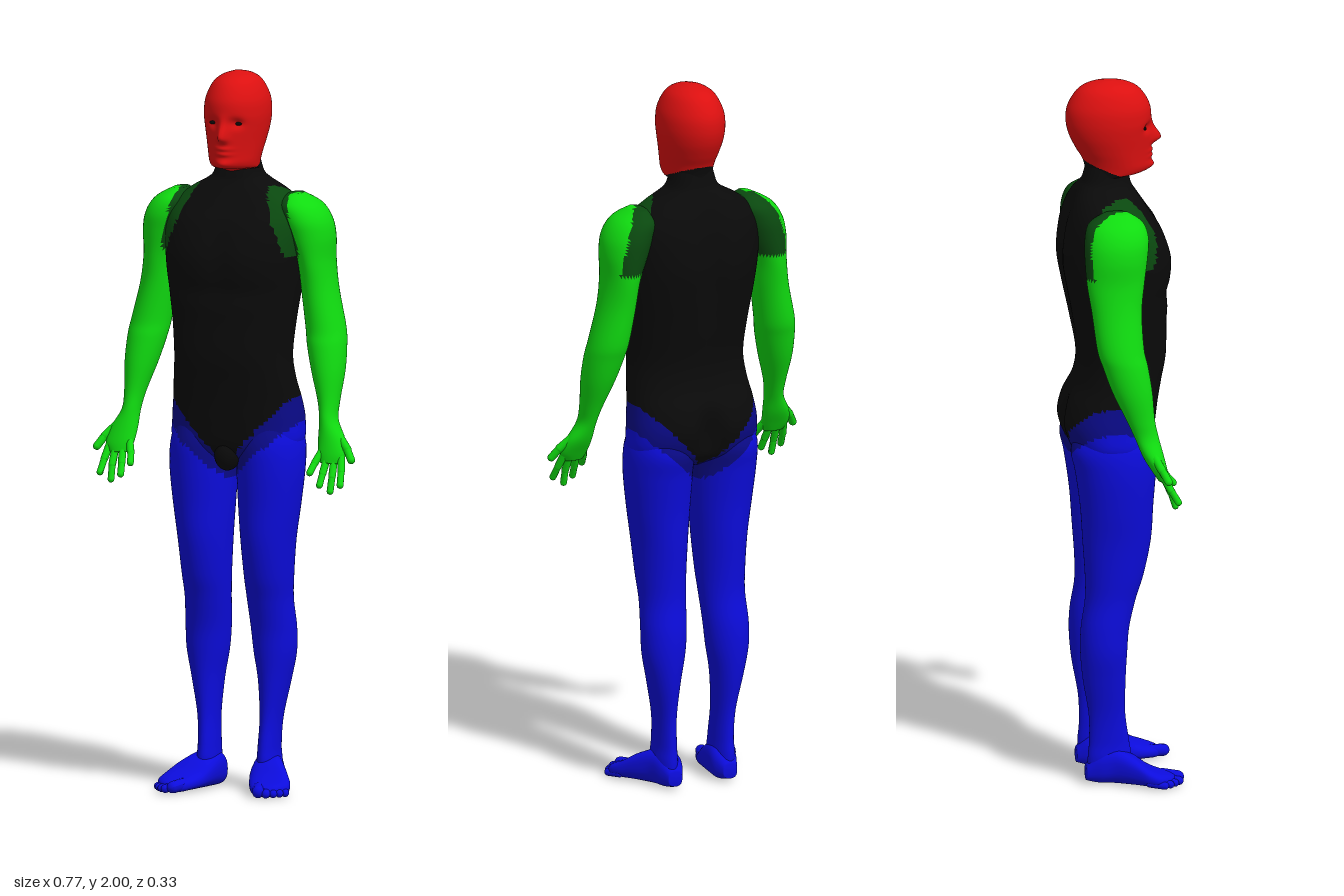
import * as THREE from 'three';

const mat = (name, color) => Object.assign(new THREE.MeshStandardMaterial({ color }), { name });

// Smooth interpolation through the rows of a section table
function sample(keys, t) {
  const n = keys.length - 1, i = Math.min(Math.floor(t), n - 1), f = t - i;
  const [a, b, c, d] = [i - 1, i, i + 1, i + 2].map(k => keys[Math.max(0, Math.min(n, k))]);
  return b.map((v, k) => v + 0.5 * f * (c[k] - a[k] + f * (2 * a[k] - 5 * v + 4 * c[k] - d[k]
    + f * (3 * (v - c[k]) + d[k] - a[k]))));
}

// Closed loft from top to bottom; each row is [y, xMin, xMax, zMin, zMax]
function loft(keys, { sides = 32, steps = 6, power = 2, shape } = {}) {
  const rings = [], pos = [], index = [], total = (keys.length - 1) * steps;
  for (let i = 0; i <= total; i++) rings.push(sample(keys, i / steps));
  const point = ([y, x0, x1, z0, z1]) => [y, (x0 + x1) / 2, (x0 + x1) / 2, (z0 + z1) / 2, (z0 + z1) / 2];
  rings.unshift(point(rings[0]));
  rings.push(point(rings[rings.length - 1]));
  const bend = v => Math.sign(v) * Math.abs(v) ** (2 / power);
  for (const [y, x0, x1, z0, z1] of rings) for (let j = 0; j < sides; j++) {
    const a = j / sides * Math.PI * 2;
    const p = new THREE.Vector3((x0 + x1) / 2 + (x1 - x0) / 2 * bend(Math.cos(a)), y,
      (z0 + z1) / 2 + (z1 - z0) / 2 * bend(Math.sin(a)));
    if (shape) shape(p, Math.sin(a));
    pos.push(p.x, p.y, p.z);
  }
  for (let i = 0; i < rings.length - 1; i++) for (let j = 0; j < sides; j++) {
    const k = (j + 1) % sides, a = i * sides + j, b = i * sides + k;
    index.push(a, b, a + sides, b, b + sides, a + sides);
  }
  const g = new THREE.BufferGeometry();
  g.setAttribute('position', new THREE.Float32BufferAttribute(pos, 3));
  g.setIndex(index);
  g.computeVertexNormals();
  return g;
}

// Sort triangles into material groups by a rule on their centres
function paint(g, rule) {
  const p = g.attributes.position, idx = g.index.array, sets = [];
  for (let i = 0; i < idx.length; i += 3) {
    const t = [idx[i], idx[i + 1], idx[i + 2]], c = new THREE.Vector3();
    t.forEach(v => c.add(new THREE.Vector3().fromBufferAttribute(p, v)));
    const m = rule(c.divideScalar(3));
    (sets[m] ||= []).push(...t);
  }
  g.setIndex(sets.flat());
  let start = 0;
  sets.forEach((s, m) => { g.addGroup(start, s.length, m); start += s.length; });
  return g;
}

function mirrored(g) {
  const m = g.clone().scale(-1, 1, 1), idx = m.index.array;
  for (let i = 0; i < idx.length; i += 3) [idx[i], idx[i + 1]] = [idx[i + 1], idx[i]];
  m.computeVertexNormals();
  return m;
}

// Rounded finger or toe between two points
function digit(a, b, r) {
  const from = new THREE.Vector3(...a), to = new THREE.Vector3(...b), d = to.clone().sub(from);
  const g = new THREE.CapsuleGeometry(r, d.length(), 5, 12);
  g.applyQuaternion(new THREE.Quaternion().setFromUnitVectors(new THREE.Vector3(0, 1, 0), d.normalize()));
  return g.translate(...from.add(to).multiplyScalar(0.5).toArray());
}

const bump = (v, centre, width) => Math.exp(-(((v - centre) / width) ** 2));

export function createModel() {
  const model = new THREE.Group();
  model.name = 'figure';
  const red = mat('red', 0xdc1010), black = mat('black', 0x0a0a0a);
  const green = mat('green', 0x10dc10), darkGreen = mat('darkGreen', 0x0a480f);
  const blue = mat('blue', 0x0c0cdc), darkBlue = mat('darkBlue', 0x0a0a88);
  const palette = [black, darkGreen, green, darkBlue, blue];
  const add = (name, g, m) => {
    const mesh = new THREE.Mesh(g, m);
    mesh.name = name;
    model.add(mesh);
  };
  const addPair = (name, g, m) => { add('left' + name, g, m); add('right' + name, mirrored(g), m); };

  // Colour zones of the suit: shoulder bands above, hip bands below
  const zone = ({ x, y, z }) => {
    const ax = Math.abs(x), back = Math.max(0, -z), drop = 1.66 - y;
    if (y > 1.5) {
      if (ax > 0.165 + back * 0.5 + drop * 0.25) return 2;
      if (ax > 0.112 + back * 0.5 + drop * 0.4) return 1;
    }
    if (y < 0.86 + ax * 0.9) return 4;
    return y < 0.915 + ax * 1.05 ? 3 : 0;
  };

  // Torso with chest line, spine groove and cleft
  const torso = loft([
    [1.765, -0.056, 0.056, -0.09, 0.02], [1.72, -0.068, 0.068, -0.102, 0.03],
    [1.7, -0.088, 0.088, -0.115, 0.036], [1.67, -0.14, 0.14, -0.132, 0.055],
    [1.63, -0.185, 0.185, -0.148, 0.082], [1.58, -0.2, 0.2, -0.162, 0.115],
    [1.5, -0.196, 0.196, -0.17, 0.142], [1.42, -0.188, 0.188, -0.157, 0.138],
    [1.32, -0.174, 0.174, -0.135, 0.13], [1.22, -0.166, 0.166, -0.116, 0.128],
    [1.15, -0.172, 0.172, -0.124, 0.115], [1.09, -0.18, 0.18, -0.155, 0.105],
    [1.03, -0.187, 0.187, -0.167, 0.097], [0.97, -0.185, 0.185, -0.148, 0.087],
    [0.94, -0.14, 0.14, -0.12, 0.07], [0.91, -0.04, 0.04, -0.06, 0.04],
  ], {
    sides: 72, power: 2.3, shape: (p, s) => {
      const mid = bump(p.x, 0, 0.035);
      if (s < 0) p.z += mid * (0.02 * bump(p.y, 1.5, 0.15) + 0.04 * bump(p.y, 1.02, 0.07));
      else p.z -= mid * 0.01 * bump(p.y, 1.5, 0.1) + s * 0.008 * bump(p.y, 1.4, 0.025);
    },
  });
  add('torso', paint(torso, zone), palette);
  add('groin', new THREE.SphereGeometry(1, 24, 16).scale(0.036, 0.045, 0.045).translate(0, 0.94, 0.052), black);

  // Head with jaw, nose, eye sockets, lips and chin; the neck below is black
  const head = loft([
    [2, -0.012, 0.012, -0.045, -0.015], [1.99, -0.042, 0.042, -0.088, 0.03],
    [1.97, -0.066, 0.066, -0.118, 0.062], [1.93, -0.085, 0.085, -0.142, 0.086],
    [1.89, -0.09, 0.09, -0.147, 0.091], [1.85, -0.087, 0.087, -0.139, 0.089],
    [1.81, -0.08, 0.08, -0.12, 0.09], [1.78, -0.074, 0.074, -0.102, 0.09],
    [1.755, -0.069, 0.069, -0.094, 0.09], [1.74, -0.066, 0.066, -0.094, 0.075],
    [1.73, -0.063, 0.063, -0.095, 0.03], [1.69, -0.064, 0.064, -0.1, 0.025],
  ], {
    sides: 80, steps: 8, shape: (p, s) => {
      if (s <= 0) return;
      const jaw = THREE.MathUtils.smoothstep(1.88 - p.y, 0, 0.1);
      p.x *= 1 - 0.22 * jaw * s * s;
      const ax = Math.abs(p.x);
      p.z += s * (0.03 * bump(ax, 0, 0.014) * bump(p.y, 1.828, p.y > 1.828 ? 0.035 : 0.013)
        - 0.014 * bump(ax, 0.036, 0.018) * bump(p.y, 1.867, 0.014)
        + 0.006 * bump(ax, 0, 0.025) * (bump(p.y, 1.796, 0.006) + bump(p.y, 1.781, 0.006))
        + 0.01 * bump(ax, 0, 0.025) * bump(p.y, 1.752, 0.012));
    },
  });
  add('head', paint(head, p => (p.y > 1.737 - p.z * 0.4 || (p.z > 0.02 && p.y > 1.728) ? 1 : 0)), [black, red]);
  addPair('Eye', new THREE.SphereGeometry(1, 16, 10).scale(0.012, 0.005, 0.004).translate(0.036, 1.866, 0.068), black);

  // Arms down to the palms
  const arm = loft([
    [1.668, 0.15, 0.19, -0.07, 0], [1.64, 0.12, 0.24, -0.112, 0.04],
    [1.6, 0.13, 0.268, -0.126, 0.052], [1.55, 0.15, 0.278, -0.128, 0.047],
    [1.48, 0.178, 0.277, -0.124, 0.036], [1.4, 0.188, 0.288, -0.112, 0.027],
    [1.3, 0.202, 0.312, -0.1, 0.03], [1.25, 0.211, 0.32, -0.085, 0.04],
    [1.18, 0.23, 0.322, -0.06, 0.05], [1.1, 0.256, 0.316, -0.022, 0.056],
    [1.05, 0.266, 0.318, 0, 0.066], [1, 0.268, 0.345, 0.02, 0.078],
    [0.96, 0.273, 0.354, 0.044, 0.087], [0.935, 0.283, 0.342, 0.06, 0.09],
  ], { sides: 40 });
  addPair('Arm', paint(arm, p => (p.y > 1.5 ? Math.min(2, zone(p)) || 1 : 2)), palette);

  // Fingers and thumb
  [
    [[0.325, 1.01, 0.045], [0.358, 0.975, 0.065], [0.376, 0.947, 0.08]],
    [[0.341, 0.96, 0.066], [0.35, 0.915, 0.09], [0.355, 0.88, 0.111]],
    [[0.323, 0.955, 0.07], [0.325, 0.9, 0.095], [0.324, 0.861, 0.107]],
    [[0.303, 0.955, 0.07], [0.297, 0.907, 0.095], [0.294, 0.877, 0.111]],
    [[0.284, 0.965, 0.068], [0.272, 0.935, 0.09], [0.265, 0.91, 0.111]],
  ].forEach(([a, b, c], i) => {
    const name = i ? 'Finger' + i : 'Thumb', r = i ? 0.0105 : 0.012;
    addPair(name + 'Base', digit(a, b, r), green);
    addPair(name + 'Tip', digit(b, c, r - 0.001), green);
  });

  // Legs
  const leg = loft([
    [1.03, 0.03, 0.17, -0.12, 0.07], [0.97, 0.008, 0.189, -0.148, 0.088],
    [0.9, 0.006, 0.192, -0.136, 0.088], [0.8, 0.011, 0.182, -0.122, 0.081],
    [0.7, 0.018, 0.168, -0.115, 0.075], [0.6, 0.024, 0.16, -0.108, 0.055],
    [0.53, 0.028, 0.156, -0.108, 0.033], [0.45, 0.033, 0.16, -0.12, 0.014],
    [0.38, 0.04, 0.158, -0.122, 0.008], [0.3, 0.054, 0.142, -0.115, 0.004],
    [0.2, 0.062, 0.122, -0.098, 0.004], [0.12, 0.06, 0.117, -0.096, 0.015],
    [0.07, 0.058, 0.12, -0.1, 0.02], [0.01, 0.062, 0.113, -0.098, 0],
  ], { sides: 48 });
  addPair('Leg', paint(leg, zone), palette);

  // Feet, lofted from toe to heel and laid flat
  const foot = loft([
    [0.135, 0.11, 0.15, -0.026, -0.004], [0.12, 0.095, 0.172, -0.033, 0],
    [0.09, 0.079, 0.192, -0.042, 0], [0.06, 0.066, 0.188, -0.055, 0],
    [0.02, 0.054, 0.165, -0.082, 0], [-0.03, 0.047, 0.136, -0.1, 0],
    [-0.07, 0.047, 0.122, -0.09, 0], [-0.105, 0.065, 0.106, -0.05, -0.008],
  ], { power: 2.5 }).rotateX(Math.PI / 2);
  addPair('Foot', foot, blue);
  [[0.126, 0.146, 0.017], [0.149, 0.146, 0.012], [0.165, 0.132, 0.011], [0.178, 0.117, 0.011], [0.188, 0.1, 0.011]]
    .forEach(([x, z, r], i) => addPair('Toe' + (i + 1), digit([x - 0.014, r + 0.004, z - 0.04], [x, r, z], r), blue));

  return model;
}
